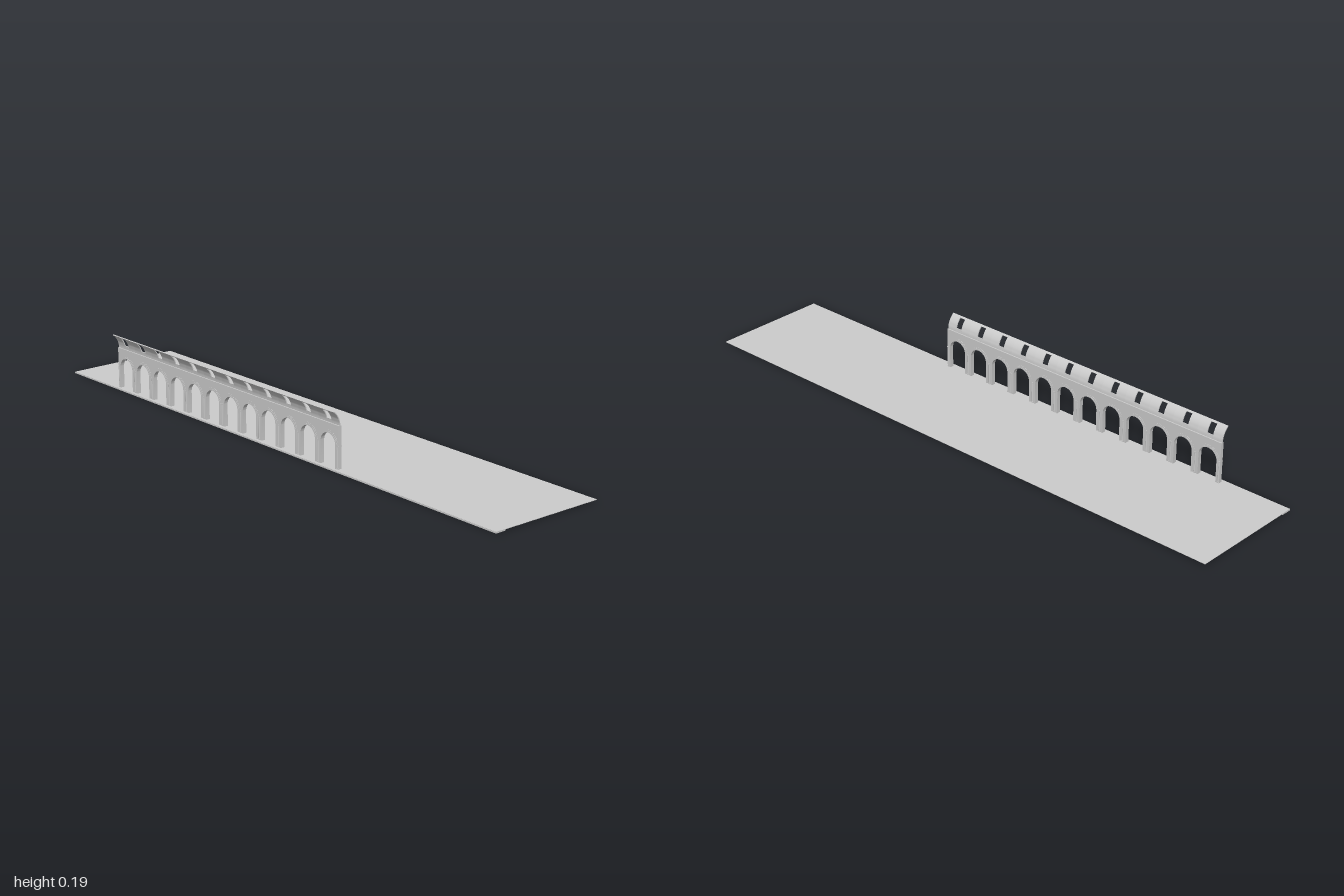
import * as THREE from 'three';
import { toCreasedNormals } from 'three/addons/utils/BufferGeometryUtils.js';

const BAYS = 12, X0 = -0.762, PITCH = 0.0918;
const FLOOR = 0.004, SPRING = 0.075, WALL_TOP = 0.139, WALL_Z = 0.1775;
const mat = new THREE.MeshStandardMaterial({ color: 0xcccccc });

function add(parent, name, geometry, x = 0, y = 0, z = 0) {
  const mesh = new THREE.Mesh(geometry, mat);
  mesh.name = name;
  mesh.position.set(x, y, z);
  parent.add(mesh);
  return mesh;
}

// Extrude a shape in z, centred on the wall plane
function slab(shape, depth) {
  const g = new THREE.ExtrudeGeometry(shape, { depth, bevelEnabled: false, curveSegments: 14 });
  g.translate(0, 0, WALL_Z - depth / 2);
  return toCreasedNormals(g, 0.6);
}

// Wall of one bay with an arched opening down to the floor
function bayShape(r) {
  const h = PITCH / 2, s = new THREE.Shape();
  s.moveTo(-h, FLOOR);
  s.lineTo(-r, FLOOR);
  s.lineTo(-r, SPRING);
  s.absarc(0, SPRING, r, Math.PI, 0, true);
  s.lineTo(r, FLOOR);
  s.lineTo(h, FLOOR);
  s.lineTo(h, WALL_TOP);
  s.lineTo(-h, WALL_TOP);
  return s;
}

// Arch band whose legs run down to the given height
function archShape(rIn, rOut, foot) {
  const s = new THREE.Shape();
  s.moveTo(-rOut, foot);
  s.lineTo(-rIn, foot);
  s.lineTo(-rIn, SPRING);
  s.absarc(0, SPRING, rIn, Math.PI, 0, true);
  s.lineTo(rIn, foot);
  s.lineTo(rOut, foot);
  s.lineTo(rOut, SPRING);
  s.absarc(0, SPRING, rOut, 0, Math.PI, false);
  return s;
}

// Curved canopy panel between two angles, extruded along x
function canopyPanel(x0, x1, a0, a1) {
  const R = 0.0565, t = 0.003, zc = 0.179 + R, yc = WALL_TOP - 0.001, n = 8;
  const s = new THREE.Shape();
  const point = (r, a, first) => {
    const u = -(zc - r * Math.cos(a)), v = yc + r * Math.sin(a);
    if (first) s.moveTo(u, v); else s.lineTo(u, v);
  };
  for (let i = 0; i <= n; i++) point(R, a0 + (a1 - a0) * i / n, i === 0);
  for (let i = n; i >= 0; i--) point(R + t, a0 + (a1 - a0) * i / n, false);
  const g = new THREE.ExtrudeGeometry(s, { depth: x1 - x0, bevelEnabled: false });
  g.rotateY(Math.PI / 2);
  g.translate(x0, 0, 0);
  return toCreasedNormals(g, 0.6);
}

export function createModel() {
  const model = new THREE.Group();
  model.name = 'arcade';

  // Paved ground and the footing under the arcade
  add(model, 'ground', new THREE.BoxGeometry(2, 0.0015, 0.398), 0, 0.0042, -0.004);
  add(model, 'footing', new THREE.BoxGeometry(2, 0.004, 0.036), 0, 0.002, 0.178);

  const h = PITCH / 2, w = 0.011;
  const top = 0.951, low = 0.23, high = 0.83;
  const wall = slab(bayShape(0.034), 0.011);
  const archivolt = slab(archShape(0.033, 0.038, FLOOR), 0.014);
  const outerBand = slab(archShape(0.037, 0.043, SPRING), 0.0125);
  const canopy = [
    canopyPanel(-h, -w, 0, top),
    canopyPanel(w, h, 0, top),
    canopyPanel(-w, w, 0, low),
    canopyPanel(-w, w, high, top),
  ];

  for (let i = 0; i < BAYS; i++) {
    const bay = new THREE.Group();
    bay.name = 'bay';
    bay.position.x = X0 + PITCH * (i + 0.5);
    add(bay, 'archWall', wall);
    add(bay, 'archivolt', archivolt);
    add(bay, 'outerArchBand', outerBand);
    canopy.forEach((g) => add(bay, 'canopyPanel', g));
    model.add(bay);
  }

  // Slim shafts on both faces of every pier
  const shaft = new THREE.CylinderGeometry(0.0025, 0.0025, SPRING - FLOOR, 10);
  const capital = new THREE.BoxGeometry(0.008, 0.004, 0.005);
  for (let i = 0; i <= BAYS; i++) {
    const inset = i === 0 ? 0.004 : i === BAYS ? -0.004 : 0;
    const x = X0 + PITCH * i + inset;
    for (const side of [-1, 1]) {
      const z = WALL_Z + side * 0.0045;
      add(model, 'pierShaft', shaft, x, (SPRING + FLOOR) / 2, z);
      add(model, 'pierCapital', capital, x, SPRING, z);
      add(model, 'pierBase', capital, x, FLOOR + 0.002, z);
    }
  }
  return model;
}
